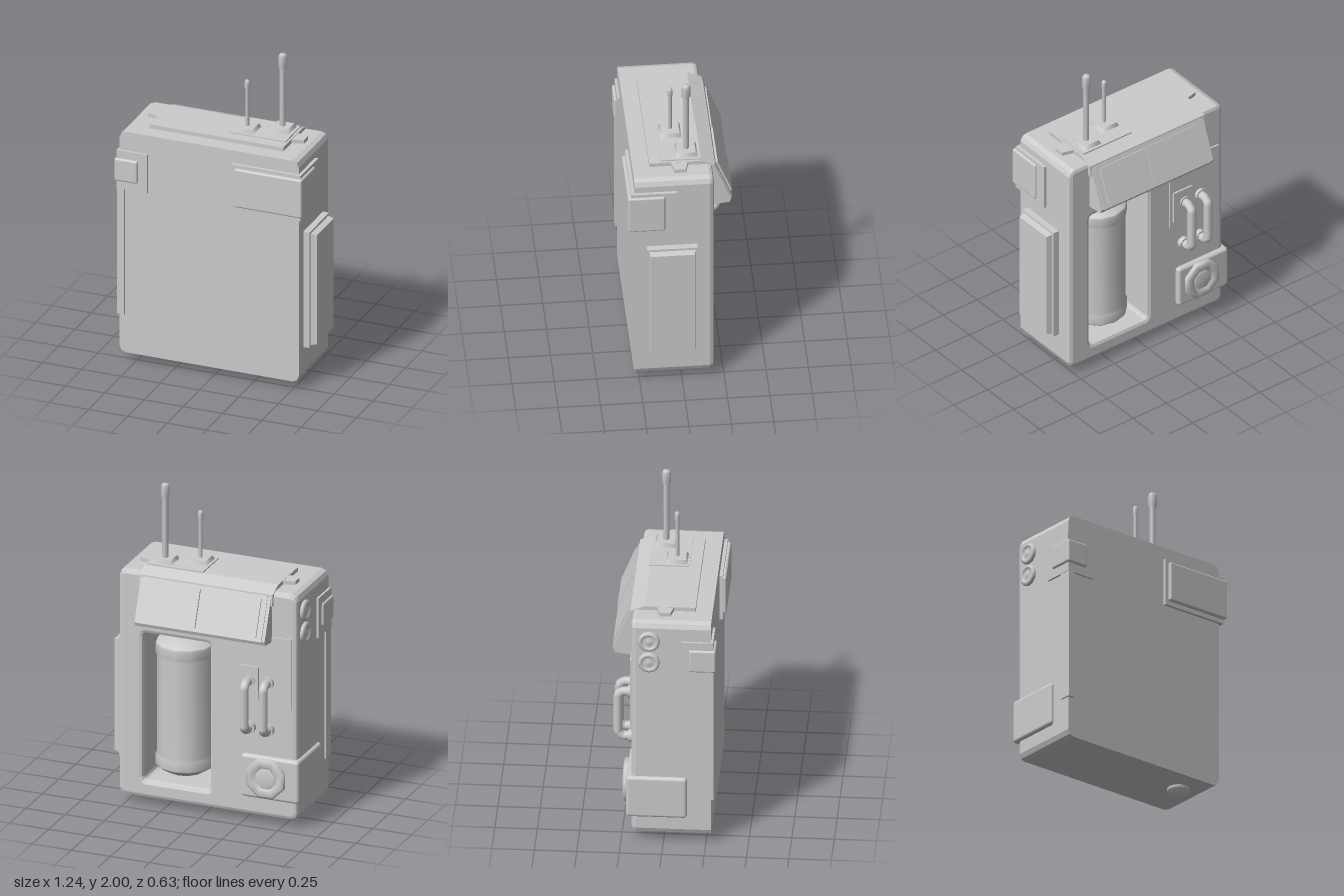
import * as THREE from 'three';
import { RoundedBoxGeometry } from 'three/addons/geometries/RoundedBoxGeometry.js';

const material = new THREE.MeshStandardMaterial({ color: 0xcccccc });

function add(parent, name, geometry) {
  const mesh = new THREE.Mesh(geometry, material);
  mesh.name = name;
  parent.add(mesh);
  return mesh;
}

// Box given by its limits; r > 0 rounds the edges
function box(parent, name, [x0, x1], [y0, y1], [z0, z1], r = 0) {
  const size = [x1 - x0, y1 - y0, z1 - z0];
  const g = r ? new RoundedBoxGeometry(...size, 2, r) : new THREE.BoxGeometry(...size);
  g.translate((x0 + x1) / 2, (y0 + y1) / 2, (z0 + z1) / 2);
  return add(parent, name, g);
}

// Rectangle path with cut corners
function cutRect(path, x0, x1, y0, y1, c) {
  const pts = [[x0 + c, y0], [x1 - c, y0], [x1 - c * 0.3, y0 + c * 0.3], [x1, y0 + c], [x1, y1 - c],
    [x1 - c * 0.3, y1 - c * 0.3], [x1 - c, y1], [x0 + c, y1], [x0 + c * 0.3, y1 - c * 0.3],
    [x0, y1 - c], [x0, y0 + c], [x0 + c * 0.3, y0 + c * 0.3]];
  return path.setFromPoints(pts.map(p => new THREE.Vector2(...p)));
}

// Side profile of [z, y] points swept from x0 to x1
function sideProfile(parent, name, points, x0, x1) {
  const shape = new THREE.Shape(points.map(p => new THREE.Vector2(...p)));
  const g = new THREE.ExtrudeGeometry(shape, { depth: x1 - x0, bevelEnabled: false });
  g.rotateY(-Math.PI / 2).translate(x1, 0, 0);
  return add(parent, name, g);
}

function lathe(parent, name, points, sides) {
  return add(parent, name, new THREE.LatheGeometry(points.map(p => new THREE.Vector2(...p)), sides));
}

export function createModel() {
  const model = new THREE.Group();
  model.name = 'backpackUnit';

  // Casing: rear half with the tank bay cut out, closed by a front slab
  const outline = () => cutRect(new THREE.Shape(), -0.6, 0.54, 0.05, 1.48, 0.04);
  const rear = outline();
  rear.holes.push(cutRect(new THREE.Path(), -0.04, 0.385, 0.16, 1.09, 0.02));
  const b = 0.025;
  add(model, 'rearCasing', new THREE.ExtrudeGeometry(rear, {
    depth: 0.34, bevelThickness: b, bevelSize: b, bevelOffset: -b, bevelSegments: 2,
  }).translate(0, 0, -0.19 + b));
  add(model, 'frontCasing', new THREE.ExtrudeGeometry(outline(), { depth: 0.14, bevelEnabled: false })
    .translate(0, 0, 0.14));

  // Tank with banded ends
  lathe(model, 'tank', [[0, 0.19], [0.11, 0.19], [0.175, 0.23], [0.18, 0.24], [0.18, 0.3], [0.17, 0.31],
    [0.17, 0.93], [0.18, 0.94], [0.18, 1.0], [0.175, 1.01], [0.11, 1.05], [0, 1.05]], 12)
    .position.set(0.19, 0, 0);

  // Top cover folding over the rear edge, with end tabs
  sideProfile(model, 'topCover', [[0.18, 1.46], [0.18, 1.505], [-0.12, 1.505], [-0.205, 1.47],
    [-0.215, 1.4], [-0.15, 1.4]], -0.45, 0.4);
  for (const [x, s] of [[-0.45, -1], [0.4, 1]]) {
    const tab = new THREE.Shape([[-0.05, -0.06], [s * 0.07, -0.03], [s * 0.07, 0.035], [-0.05, 0.065]]
      .map(([px, pz]) => new THREE.Vector2(s < 0 && px < -0.05 ? px : s < 0 && px === -0.05 ? 0.05 : px, -pz)));
    const g = new THREE.ExtrudeGeometry(tab, { depth: 0.035, bevelEnabled: false });
    add(model, 'coverTab', g.rotateX(-Math.PI / 2).translate(x, 1.468, 0));
  }

  // Antennas on stepped bases
  box(model, 'antennaPlate', [0.03, 0.385], [1.49, 1.512], [-0.125, 0.11]);
  const antennas = [
    { x: 0.11, z: 0.033, r: 0.012, tip: 0.016, neck: 1.77, top: 1.83 },
    { x: 0.303, z: -0.045, r: 0.018, tip: 0.026, neck: 1.91, top: 2 },
  ];
  for (const a of antennas) {
    const g = new THREE.Group();
    g.name = 'antenna';
    g.position.set(a.x, 0, a.z);
    model.add(g);
    const base = add(g, 'antennaBase', new THREE.CylinderGeometry(0.075, 0.092, 0.027, 4, 1)
      .rotateY(Math.PI / 4));
    base.position.y = 1.522;
    lathe(g, 'antennaRod', [[a.r, 1.52], [a.r, a.neck], [a.tip, a.neck + 0.005],
      [a.tip, a.top - 0.015], [a.tip * 0.7, a.top], [0, a.top]], 6);
  }

  // Tilted rear panel on its wedge
  sideProfile(model, 'panelWedge', [[-0.17, 1.17], [-0.17, 1.46], [-0.205, 1.46], [-0.305, 1.205],
    [-0.295, 1.18], [-0.21, 1.17]], -0.44, 0.39);
  const panel = new THREE.Group();
  panel.name = 'tiltedPanel';
  panel.position.set(0, 1.325, -0.24);
  panel.rotation.x = 0.38;
  model.add(panel);
  box(panel, 'panelFrame', [-0.42, 0.375], [-0.138, 0.138], [-0.022, 0.02]);
  box(panel, 'panelCell', [-0.385, -0.003], [-0.115, 0.115], [-0.03, 0]);
  box(panel, 'panelCell', [0.003, 0.34], [-0.115, 0.115], [-0.034, 0]);

  // Large corner lamp housing, front left
  box(model, 'largeHousing', [0.12, 0.56], [1.105, 1.4], [0.03, 0.3]);
  box(model, 'largeHousingFace', [0.142, 0.573], [1.132, 1.38], [0.1, 0.32], 0.012);

  // Small corner housing, front right, with the strip below
  box(model, 'smallHousing', [-0.613, -0.42], [1.11, 1.36], [0.1, 0.294]);
  box(model, 'smallHousingFace', [-0.625, -0.477], [1.165, 1.31], [0.15, 0.31], 0.012);
  box(model, 'cornerStrip', [-0.61, -0.565], [0.3, 1.17], [0.22, 0.296]);

  // Side pad, narrowing outward
  const pad = new THREE.BoxGeometry(0.1, 0.75, 0.3);
  const pos = pad.attributes.position;
  for (let i = 0; i < pos.count; i++) {
    if (pos.getX(i) > 0) pos.setXYZ(i, 0.05, pos.getY(i) * 0.94, pos.getZ(i) * 0.86);
  }
  pad.computeVertexNormals();
  add(model, 'sidePad', pad).position.set(0.567, 0.625, 0.06);
  box(model, 'sidePadBase', [0.53, 0.58], [0.25, 1.0], [-0.09, 0.21]);

  // Two round sockets on the right side
  for (const y of [1.355, 1.215]) {
    lathe(model, 'sideSocket', [[0.065, 0], [0.065, 0.015], [0.055, 0.024], [0.042, 0.024],
      [0.038, 0.012], [0.02, 0.02], [0, 0.022]], 12)
      .rotation.z = Math.PI / 2;
    model.children.at(-1).position.set(-0.597, y, -0.085);
  }

  // Lower corner block with an eight-sided dial
  box(model, 'cornerBlock', [-0.62, -0.25], [0.17, 0.44], [-0.22, 0.14], 0.02);
  const dial = lathe(model, 'dial', [[0.13, 0], [0.13, 0.02], [0.115, 0.03], [0.08, 0.03], [0.075, 0.018],
    [0.06, 0.018], [0.055, 0.027], [0, 0.027]], 8);
  dial.geometry.rotateY(Math.PI / 8).rotateX(-Math.PI / 2);
  dial.position.set(-0.415, 0.31, -0.217);

  // Rear plates and the pair of handles
  box(model, 'rearPlate', [-0.565, -0.2], [0.75, 1.2], [-0.2, -0.17]);
  box(model, 'handlePlate', [-0.36, -0.22], [0.79, 1.0], [-0.211, -0.17]);
  for (const x of [-0.3, -0.42]) {
    const path = new THREE.CurvePath();
    const pts = [[0.91, -0.18], [0.91, -0.255], [0.885, -0.28], [0.635, -0.28], [0.61, -0.255], [0.61, -0.18]]
      .map(([y, z]) => new THREE.Vector3(x, y, z));
    for (let i = 1; i < pts.length; i++) path.add(new THREE.LineCurve3(pts[i - 1], pts[i]));
    add(model, 'handle', new THREE.TubeGeometry(path, 40, 0.028, 8));
    for (const y of [0.61, 0.91]) {
      add(model, 'handleFlange', new THREE.CylinderGeometry(0.038, 0.038, 0.04, 10).rotateX(Math.PI / 2))
        .position.set(x, y, -0.2);
    }
  }

  // Drain plug underneath
  lathe(model, 'drainPlug', [[0, 0], [0.04, 0], [0.045, 0.015], [0.055, 0.018], [0.06, 0.032],
    [0.068, 0.035], [0.068, 0.06]], 12).position.set(0.375, 0, 0.107);

  return model;
}
